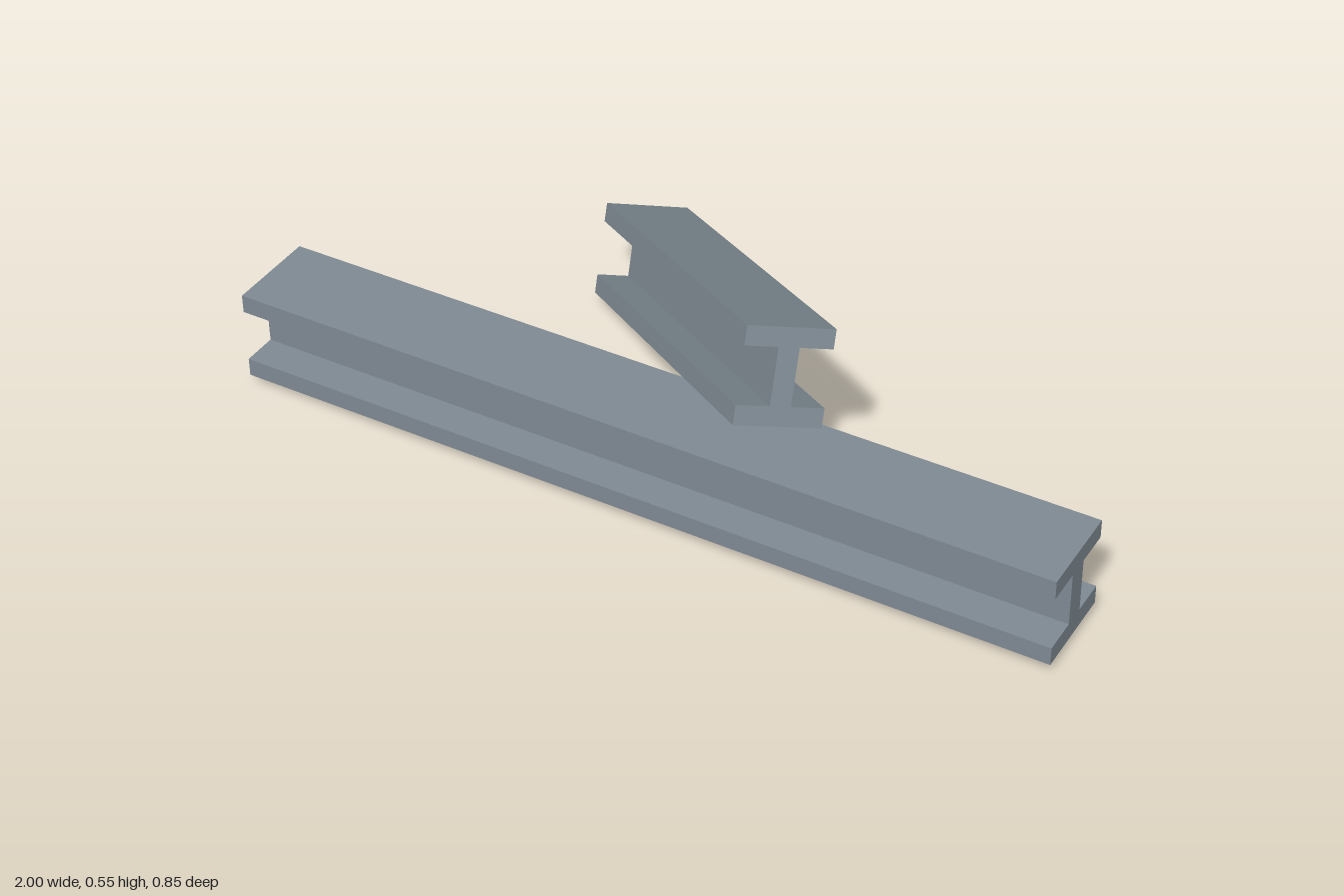
import * as THREE from 'three';

const steel = new THREE.MeshStandardMaterial({ color: 0x7f8a93, flatShading: true });
steel.name = 'steel grey';

// I-section beam centred on the origin, running along x
function makeBeam(name, length, width, height, flange, web) {
  const w = width / 2, h = height / 2, t = web / 2, f = h - flange;
  const right = [[w, -h], [w, -f], [t, -f], [t, f], [w, f], [w, h]];
  const left = right.map(([x, y]) => [-x, y]).reverse();
  const shape = new THREE.Shape([...right, ...left].map(([x, y]) => new THREE.Vector2(x, y)));
  const geometry = new THREE.ExtrudeGeometry(shape, { depth: length, bevelEnabled: false });
  geometry.translate(0, 0, -length / 2).rotateY(Math.PI / 2);
  const beam = new THREE.Mesh(geometry, steel);
  beam.name = name;
  return beam;
}

export function createModel() {
  const group = new THREE.Group();
  group.name = 'steelBeams';

  // Long beam lying flat
  const longBeam = makeBeam('longBeam', 2, 0.222, 0.222, 0.045, 0.053);
  longBeam.position.set(0, 0.139, 0.317);
  group.add(longBeam);

  // Short beam leaning across it, oriented by its own axes
  const shortBeam = makeBeam('leaningBeam', 0.994, 0.199, 0.217, 0.044, 0.047);
  const along = new THREE.Vector3(0.72, 0.304, 0.624).normalize();
  const side = new THREE.Vector3().crossVectors(along, new THREE.Vector3(-0.056, 0.921, -0.384)).normalize();
  const up = new THREE.Vector3().crossVectors(side, along);
  shortBeam.quaternion.setFromRotationMatrix(new THREE.Matrix4().makeBasis(along, up, side));
  shortBeam.position.set(-0.045, 0.276, -0.006);
  group.add(shortBeam);

  return group;
}
